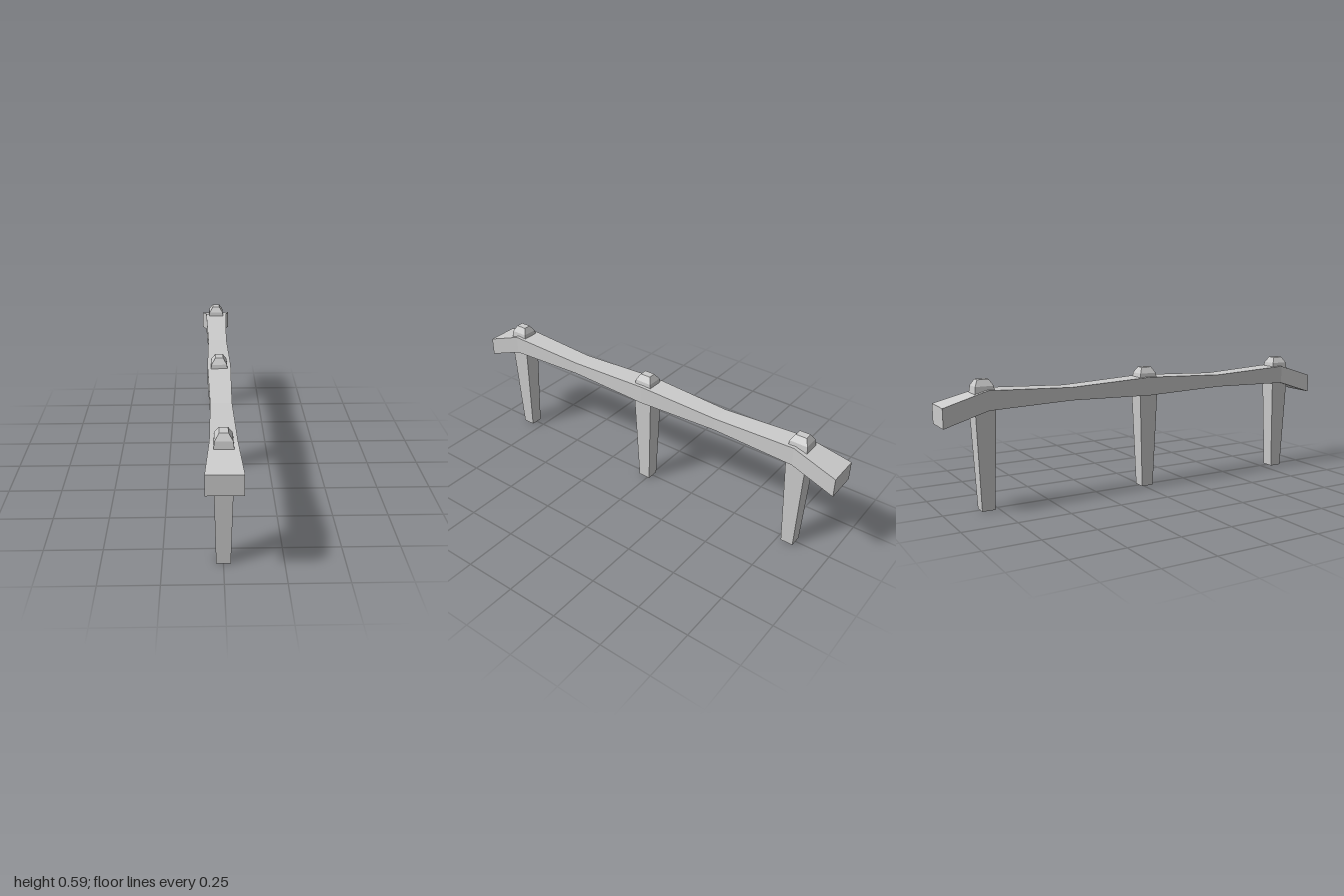
import * as THREE from 'three';

const material = new THREE.MeshStandardMaterial({ color: 0xcccccc, flatShading: true });

// Skins a closed solid over a series of four-cornered rings
function loft(rings, name) {
  const pos = [];
  const quad = (a, b, c, d) => [a, b, c, a, c, d].forEach((p) => pos.push(...p));
  for (let i = 0; i < rings.length - 1; i++) {
    for (let j = 0; j < 4; j++) {
      const k = (j + 1) % 4;
      quad(rings[i][j], rings[i][k], rings[i + 1][k], rings[i + 1][j]);
    }
  }
  const [a, b, c, d] = rings[0];
  quad(d, c, b, a);
  quad(...rings[rings.length - 1]);
  const geometry = new THREE.BufferGeometry();
  geometry.setAttribute('position', new THREE.Float32BufferAttribute(pos, 3));
  geometry.computeVertexNormals();
  const mesh = new THREE.Mesh(geometry, material);
  mesh.name = name;
  return mesh;
}

// Rail cross-sections: z, half width, bottom, top
const railSections = [
  [-1, 0.075, 0.398, 0.487],
  [-0.79, 0.055, 0.455, 0.543],
  [-0.39, 0.047, 0.465, 0.525],
  [0.02, 0.055, 0.455, 0.543],
  [0.43, 0.047, 0.465, 0.525],
  [0.83, 0.055, 0.455, 0.543],
  [1, 0.075, 0.398, 0.487],
];

// Post cross-sections: y, half width, half depth; the top three form the cap
const postSections = [
  [0, 0.03, 0.03],
  [0.45, 0.041, 0.047],
  [0.53, 0.04, 0.046],
  [0.56, 0.036, 0.042],
  [0.588, 0.018, 0.026],
];

export function createModel() {
  const model = new THREE.Group();
  model.name = 'fence';

  // Sagging rail with flared, drooping ends
  model.add(loft(railSections.map(([z, w, lo, hi]) => [
    [-w, lo, z], [w, lo, z], [w, hi, z], [-w, hi, z],
  ]), 'rail'));

  // Tapered posts passing through the rail
  [['backPost', -0.8], ['middlePost', 0.02], ['frontPost', 0.83]].forEach(([name, z]) => {
    const post = loft(postSections.map(([y, w, d]) => [
      [-w, y, d], [w, y, d], [w, y, -d], [-w, y, -d],
    ]), name);
    post.position.z = z;
    model.add(post);
  });

  return model;
}
